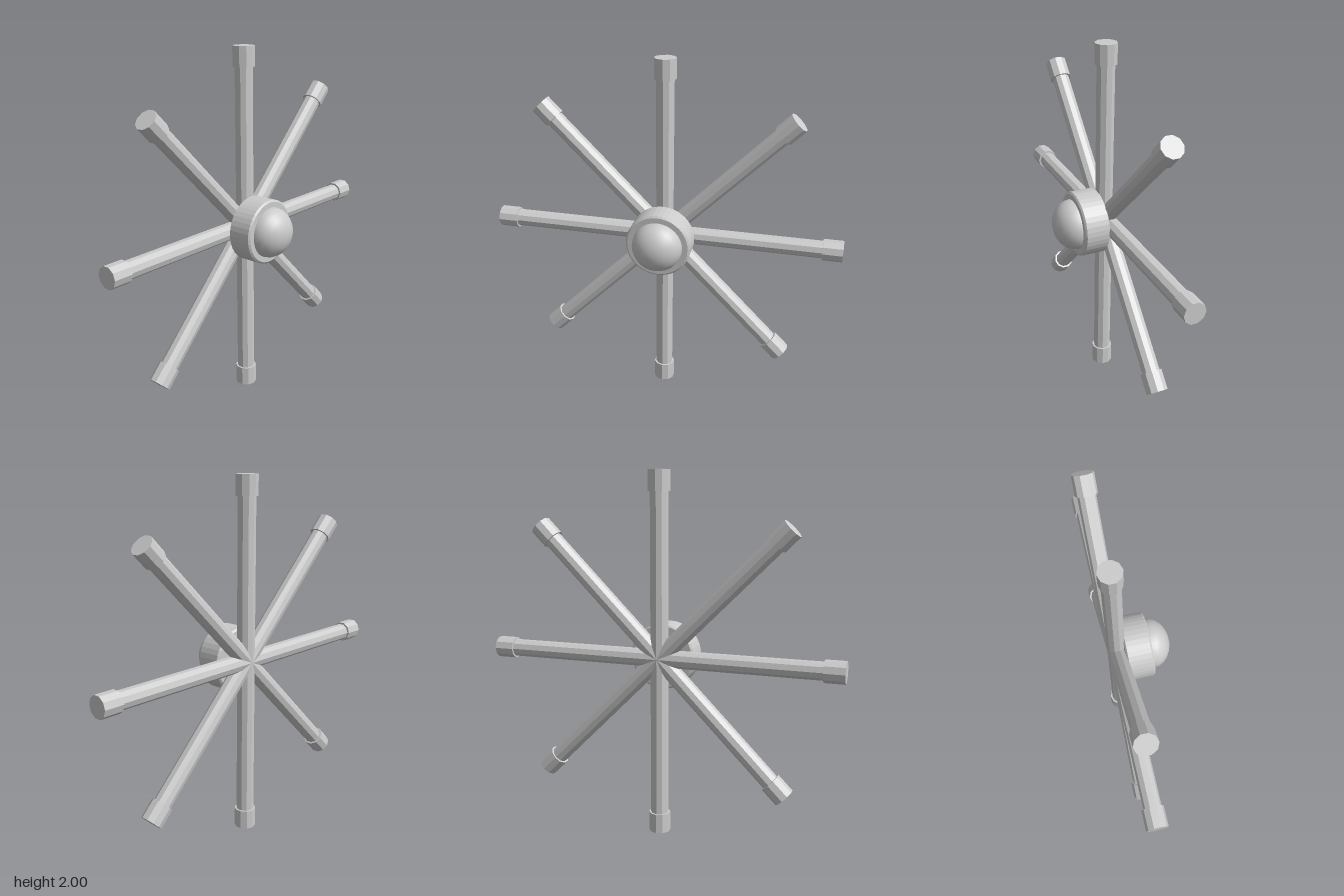
import * as THREE from 'three';

export function createModel() {
  const model = new THREE.Group();
  model.name = 'spokedWheel';
  const smooth = new THREE.MeshStandardMaterial({ color: 0xcccccc });
  const faceted = new THREE.MeshStandardMaterial({ color: 0xcccccc, flatShading: true });

  const add = (parent, name, geometry, material) => {
    const mesh = new THREE.Mesh(geometry, material);
    mesh.name = name;
    parent.add(mesh);
    return mesh;
  };

  // Eight ten-sided spokes with thicker end caps, meeting at the centre
  const rodGeometry = new THREE.CylinderGeometry(0.049, 0.049, 0.9, 10).translate(0, 0.45, 0);
  const capGeometry = new THREE.CylinderGeometry(0.06, 0.06, 0.11, 10).translate(0, 0.945, 0);
  for (let i = 0; i < 8; i++) {
    const spoke = new THREE.Group();
    spoke.name = `spoke${i + 1}`;
    spoke.position.set(0, 1, -0.12);
    spoke.rotation.z = (i * Math.PI) / 4;
    add(spoke, 'rod', rodGeometry, faceted);
    add(spoke, 'endCap', capGeometry, faceted);
    model.add(spoke);
  }

  // Round hub with a slightly eased front and back rim
  const hubProfile = [
    [0, -0.08], [0.172, -0.08], [0.182, -0.072], [0.182, 0.057], [0.172, 0.065], [0, 0.065],
  ].map(([r, z]) => new THREE.Vector2(r, z));
  const hubGeometry = new THREE.LatheGeometry(hubProfile, 40).rotateX(Math.PI / 2);
  add(model, 'hub', hubGeometry, faceted).position.y = 1;

  // Slightly flattened dome on the hub's front
  const domeGeometry = new THREE.SphereGeometry(0.142, 32, 6, 0, Math.PI * 2, 0, Math.PI / 2)
    .scale(1, 0.83, 1).rotateX(Math.PI / 2);
  add(model, 'hubDome', domeGeometry, smooth).position.set(0, 1, 0.064);

  return model;
}
